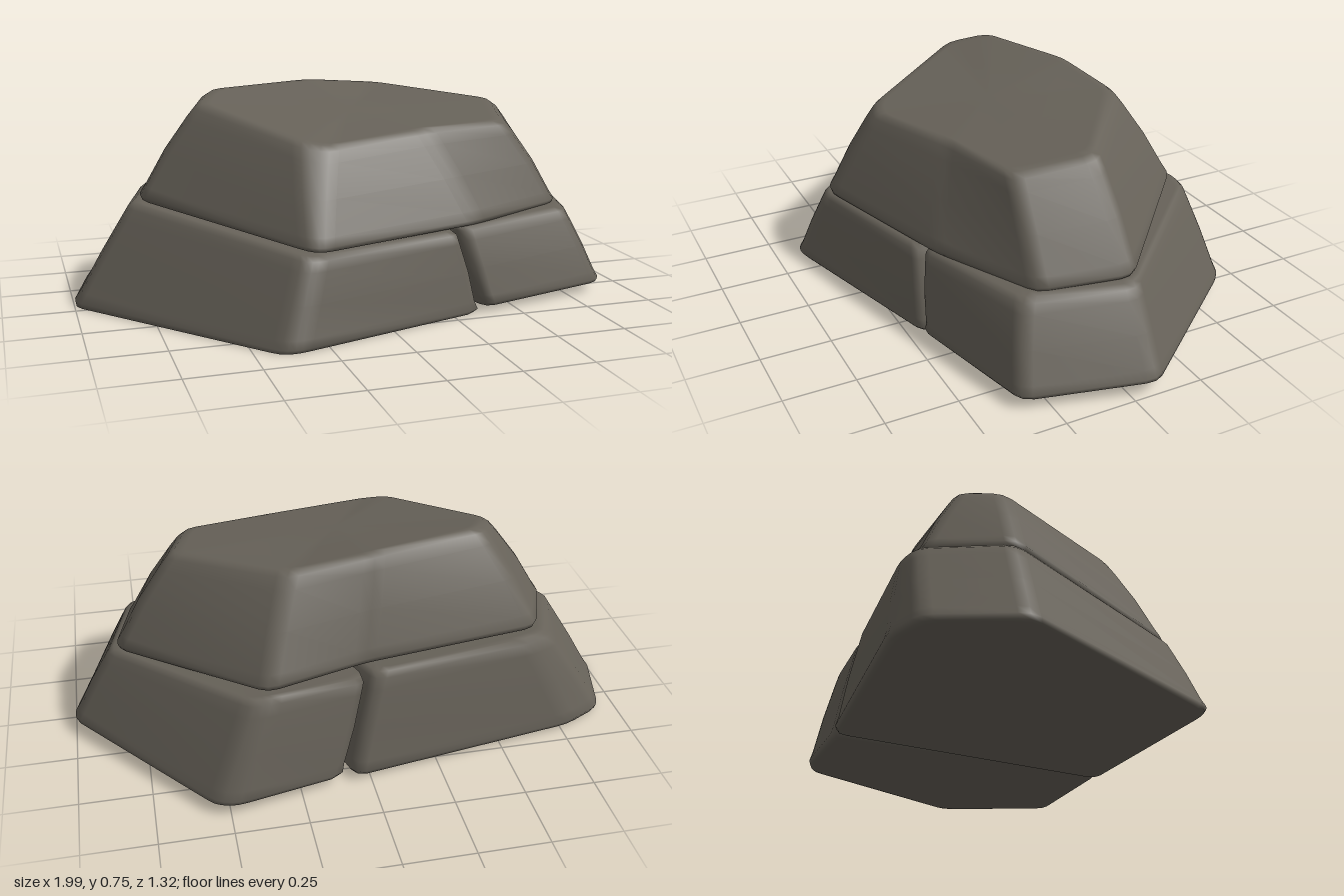
import * as THREE from 'three';

const V = (p) => new THREE.Vector3(...p);

// Replace every corner of a loop by three points so that it is softly rounded
function roundCorners(loop, radius = 0.04) {
  return loop.flatMap((p, i) => {
    const prev = loop[(i + loop.length - 1) % loop.length];
    const next = loop[(i + 1) % loop.length];
    const towards = (q) => p.clone().lerp(q, Math.min(0.3, radius / p.distanceTo(q)));
    const a = towards(prev), b = towards(next);
    const middle = a.clone().add(b).multiplyScalar(0.5).lerp(p, 0.5);
    return [a, middle, b];
  });
}

const centre = (loop) =>
  loop.reduce((sum, p) => sum.add(p), new THREE.Vector3()).divideScalar(loop.length);

// Scale a loop about its own centre
function inset(loop, s) {
  const c = centre(loop);
  return loop.map((p) => c.clone().lerp(p, s));
}

// Loft a bevelled stone between a bottom and a top outline with matching corners
function stone(name, bottomPoints, topPoints, bulge, material) {
  const bottom = roundCorners(bottomPoints.map(V));
  const top = roundCorners(topPoints.map(V));
  const between = (t, s) => inset(bottom.map((p, i) => p.clone().lerp(top[i], t)), s);
  const rings = [
    inset(bottom, 0.5), inset(bottom, 0.95), inset(bottom, 0.985), between(0.05, 1.01),
    between(0.14, 1 + bulge * 0.4), between(0.5, 1 + bulge), between(0.84, 1 + bulge * 0.6),
    between(0.95, 1.005), inset(top, 0.98), inset(top, 0.92), inset(top, 0.5),
  ];
  const n = bottom.length;
  const points = [...rings.flat(), centre(bottom), centre(top)];
  const low = points.length - 2, high = points.length - 1;
  const last = (rings.length - 1) * n;
  const index = [];
  for (let j = 0; j < n; j++) {
    const k = (j + 1) % n;
    for (let i = 0; i < rings.length - 1; i++) {
      const a = i * n + j, b = i * n + k, c = b + n, d = a + n;
      index.push(a, d, c, a, c, b);
    }
    index.push(low, j, k, high, last + k, last + j);
  }
  const geometry = new THREE.BufferGeometry().setFromPoints(points);
  geometry.setIndex(index);
  geometry.computeVertexNormals();
  const mesh = new THREE.Mesh(geometry, material);
  mesh.name = name;
  return mesh;
}

export function createModel() {
  const group = new THREE.Group();
  group.name = 'stackedRocks';
  const rock = new THREE.MeshStandardMaterial({ color: 0x676259 });
  rock.name = 'dark grey rock';

  // Large base stone
  group.add(stone('largeBaseStone',
    [[-1.01, 0, -0.05], [-0.93, 0.01, -0.36], [-0.78, 0.015, -0.44], [0.06, 0.02, -0.58],
      [0.355, 0, 0.45], [-0.36, 0, 0.66], [-0.42, 0, 0.65]],
    [[-0.79, 0.365, -0.06], [-0.69, 0.385, -0.36], [-0.6, 0.39, -0.4], [-0.03, 0.385, -0.5],
      [0.275, 0.3, 0.43], [-0.27, 0.285, 0.565], [-0.32, 0.29, 0.555]],
    0.012, rock));

  // Small base stone, split from the large one by a leaning crack
  group.add(stone('smallBaseStone',
    [[0.1, 0.03, -0.58], [0.48, 0.04, -0.67], [0.55, 0.04, -0.65], [1.01, 0.05, -0.08],
      [0.885, 0.035, 0.35], [0.375, 0.02, 0.46]],
    [[0.0, 0.38, -0.5], [0.34, 0.385, -0.57], [0.41, 0.38, -0.56], [0.85, 0.33, -0.08],
      [0.76, 0.32, 0.28], [0.295, 0.305, 0.42]],
    0.015, rock));

  // Capstone with a sloping, faceted top
  group.add(stone('capStone',
    [[-0.765, 0.375, -0.05], [-0.655, 0.395, -0.345], [0, 0.4, -0.45], [0.35, 0.395, -0.545],
      [0.83, 0.335, -0.085], [0.755, 0.32, 0.225], [0.36, 0.308, 0.4],
      [-0.25, 0.295, 0.56], [-0.3, 0.3, 0.55]],
    [[-0.54, 0.71, -0.06], [-0.47, 0.745, -0.2], [-0.06, 0.755, -0.32], [0.24, 0.73, -0.35],
      [0.61, 0.685, -0.06], [0.54, 0.64, 0.21], [0.2, 0.635, 0.28],
      [-0.18, 0.61, 0.39], [-0.27, 0.625, 0.36]],
    0.025, rock));

  return group;
}
